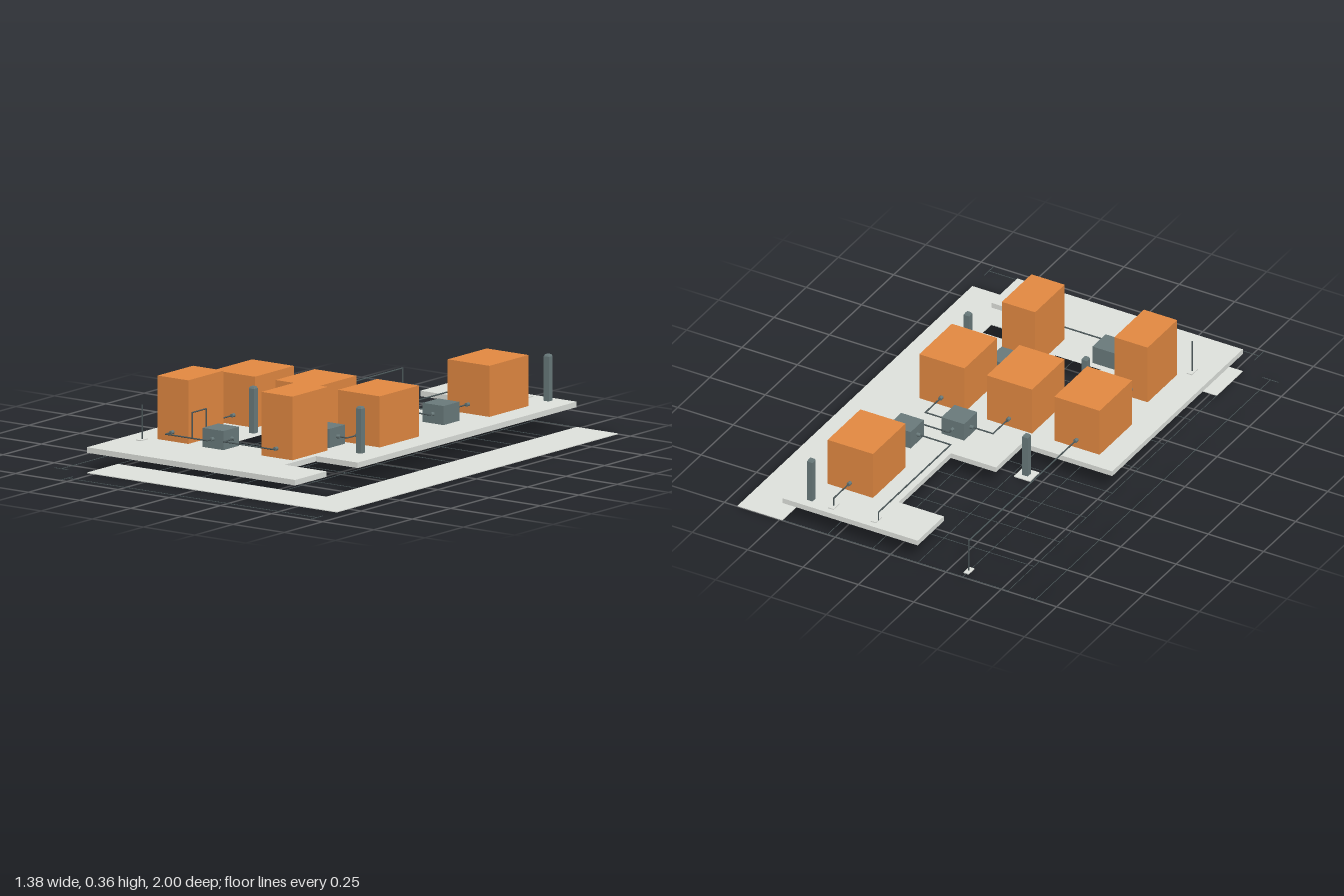
import * as THREE from 'three';

export function createModel() {
  const model = new THREE.Group();
  const paint = (name, color) => {
    const m = new THREE.MeshStandardMaterial({ color });
    m.name = name;
    return m;
  };
  const orange = paint('machine orange', 0xe48a42);
  const grey = paint('concrete grey', 0xe0e3de);
  const steel = paint('steel grey', 0x6a7b7c);
  const dark = paint('pipe charcoal', 0x4c585a);

  const add = (name, geometry, material, parent = model) => {
    const mesh = new THREE.Mesh(geometry, material);
    mesh.name = name;
    parent.add(mesh);
    return mesh;
  };
  // Box given by its centre in plan, its plan size and its bottom and top
  const box = (name, mat, x, z, w, d, y0, y1, parent) => {
    const m = add(name, new THREE.BoxGeometry(w, y1 - y0, d), mat, parent);
    m.position.set(x, (y0 + y1) / 2, z);
    return m;
  };

  // Plan outlines, drawn as [x, z] points and extruded upwards
  const plate = (name, outline, holes, y, thickness) => {
    const pts = (list) => list.map(([x, z]) => new THREE.Vector2(x, -z));
    const shape = new THREE.Shape(pts(outline));
    holes.forEach((h) => shape.holes.push(new THREE.Path(pts(h))));
    const g = new THREE.ExtrudeGeometry(shape, { depth: thickness, bevelEnabled: false });
    g.rotateX(-Math.PI / 2);
    add(name, g, grey).position.y = y;
  };
  // L-shaped ground margin along the left side and the front
  plate('groundMargin', [[0.488, -1], [0.691, -1], [0.691, 0.83], [-0.53, 0.83], [-0.53, 0.627], [0.488, 0.627]],
    [], 0, 0.003);
  // Raised slab with its stepped edge, notch and square opening
  plate('floorSlab', [[-0.53, 0.83], [-0.53, -0.187], [-0.123, -0.187], [-0.123, -0.39], [0.081, -0.39],
    [0.081, -0.797], [-0.123, -0.797], [-0.123, -1], [0.488, -1], [0.488, 0.424], [0.284, 0.424],
    [0.284, 0.627], [0.488, 0.627], [0.488, 0.83]],
  [[[-0.123, 0.22], [0.081, 0.22], [0.081, 0.424], [-0.123, 0.424]]], 0.082, 0.022);

  // Thin marking lines on the ground
  const line = (name, x0, z0, x1, z1, w) => box(name, dark, (x0 + x1) / 2, (z0 + z1) / 2,
    Math.max(Math.abs(x1 - x0), w), Math.max(Math.abs(z1 - z0), w), 0.001, 0.003);
  const pitch = 0.2034;
  for (let i = 0; i < 9; i++) line('gridRow', -0.53, -0.999 + i * pitch, 0.488, -0.999 + i * pitch, 0.0015);
  for (let i = 0; i < 5; i++) line('gridColumn', -0.53 + i * pitch, -1, -0.53 + i * pitch, 0.627, 0.0015);
  line('lengthLine', -0.655, -1, -0.655, 0.83, 0.002);
  for (const z of [-0.999, 0.83]) line('lengthTick', -0.691, z, -0.62, z, 0.002);
  line('widthLine', -0.53, 0.957, 0.691, 0.957, 0.002);
  for (const x of [-0.53, 0.69]) line('widthTick', x, 0.922, x, 1, 0.002);

  // Large machine blocks
  const floor = 0.104;
  for (const [x, z] of [[0.285, -0.694], [-0.325, 0.019], [-0.02, 0.019], [0.285, 0.019]])
    box('wideMachine', orange, x, z, 0.204, 0.254, floor, 0.308);
  for (const x of [-0.325, 0.183]) box('tallMachine', orange, x, 0.428, 0.15, 0.23, floor, 0.358);

  // Small junction blocks
  for (const [x, z] of [[0.285, -0.388], [0.133, -0.234], [0.185, 0.222], [-0.122, 0.502]])
    box('junctionBox', steel, x, z, 0.102, 0.102, floor, 0.18);

  // Square columns with a chamfered cap
  const column = (x, z, y) => {
    const group = new THREE.Group();
    group.name = 'column';
    box('columnShaft', steel, x, z, 0.025, 0.025, y, y + 0.178, group);
    const cap = new THREE.CylinderGeometry(0.012, 0.0177, 0.008, 4).toNonIndexed();
    cap.rotateY(Math.PI / 4);
    cap.computeVertexNormals();
    add('columnCap', cap, steel, group).position.set(x, y + 0.182, z);
    model.add(group);
  };
  for (const [x, z] of [[0.387, -0.949], [0.387, 0.272], [-0.173, 0.223]]) column(x, z, floor);
  column(-0.173, -0.238, 0.003);
  box('columnBase', grey, -0.173, -0.238, 0.073, 0.073, 0, 0.004);

  // Straight pipe runs through a list of [x, z, optional height] points
  const pipeY = 0.142;
  const up = new THREE.Vector3(0, 1, 0);
  const rod = (name, a, b, r, mat) => {
    const dir = b.clone().sub(a);
    const m = add(name, new THREE.CylinderGeometry(r, r, dir.length(), 8), mat);
    m.position.copy(a).add(b).multiplyScalar(0.5);
    m.quaternion.setFromUnitVectors(up, dir.normalize());
  };
  const pipe = (points, startPort, endPort) => {
    const v = points.map(([x, z, y = pipeY]) => new THREE.Vector3(x, y, z));
    for (let i = 1; i < v.length; i++) {
      rod('pipe', v[i - 1], v[i], 0.003, dark);
      if (i < v.length - 1) add('pipeElbow', new THREE.SphereGeometry(0.0031, 8, 6), dark).position.copy(v[i]);
    }
    const port = (a, b) => rod('pipePort', a, a.clone().add(b.clone().sub(a).setLength(0.016)), 0.008, steel);
    if (startPort) port(v[0], v[1]);
    if (endPort) port(v[v.length - 1], v[v.length - 2]);
  };
  pipe([[-0.325, 0.543], [-0.325, 0.591], [-0.122, 0.591], [-0.122, 0.553]], true, true);
  pipe([[0.183, 0.543], [0.183, 0.568], [-0.058, 0.568], [-0.058, 0.502], [-0.071, 0.502]], true, true);
  pipe([[-0.173, 0.502], [-0.194, 0.502], [-0.194, 0.502, 0.245], [-0.194, 0.591, 0.245], [-0.194, 0.591]], true, false);
  pipe([[-0.325, 0.313], [-0.325, 0.146]], true, true);
  pipe([[0.183, 0.313], [0.183, 0.273]], true, true);
  pipe([[-0.02, 0.146], [-0.02, 0.222], [0.134, 0.222]], true, true);
  pipe([[0.285, 0.146], [0.285, 0.222], [0.236, 0.222]], true, true);
  pipe([[-0.02, -0.108], [-0.02, -0.236], [0.082, -0.236]], true, true);
  pipe([[0.285, -0.108], [0.285, -0.236], [0.184, -0.236]], true, true);
  pipe([[0.133, -0.285], [0.133, -0.315], [0.285, -0.315], [0.285, -0.337]], true, true);
  pipe([[0.285, -0.439], [0.285, -0.567]], true, true);
  pipe([[0.234, -0.388], [0.083, -0.388], [0.083, -0.95], [0.083, -0.95, floor]], true, false);
  pipe([[0.285, -0.821], [0.285, -0.95], [0.285, -0.95, floor]], true, false);
  pipe([[-0.325, -0.108], [-0.325, -0.95], [-0.325, -0.95, 0.003]], true, false);
  pipe([[-0.44, 0.591, floor], [-0.44, 0.591, 0.245]], false, false);

  // Feet under the pipe risers
  for (const [x, z, y] of [[-0.325, -0.95, 0], [0.093, -0.95, floor], [0.285, -0.95, floor], [-0.44, 0.591, floor]])
    box('riserFoot', grey, x, z, 0.024, 0.046, y, y + 0.004);

  return model;
}
